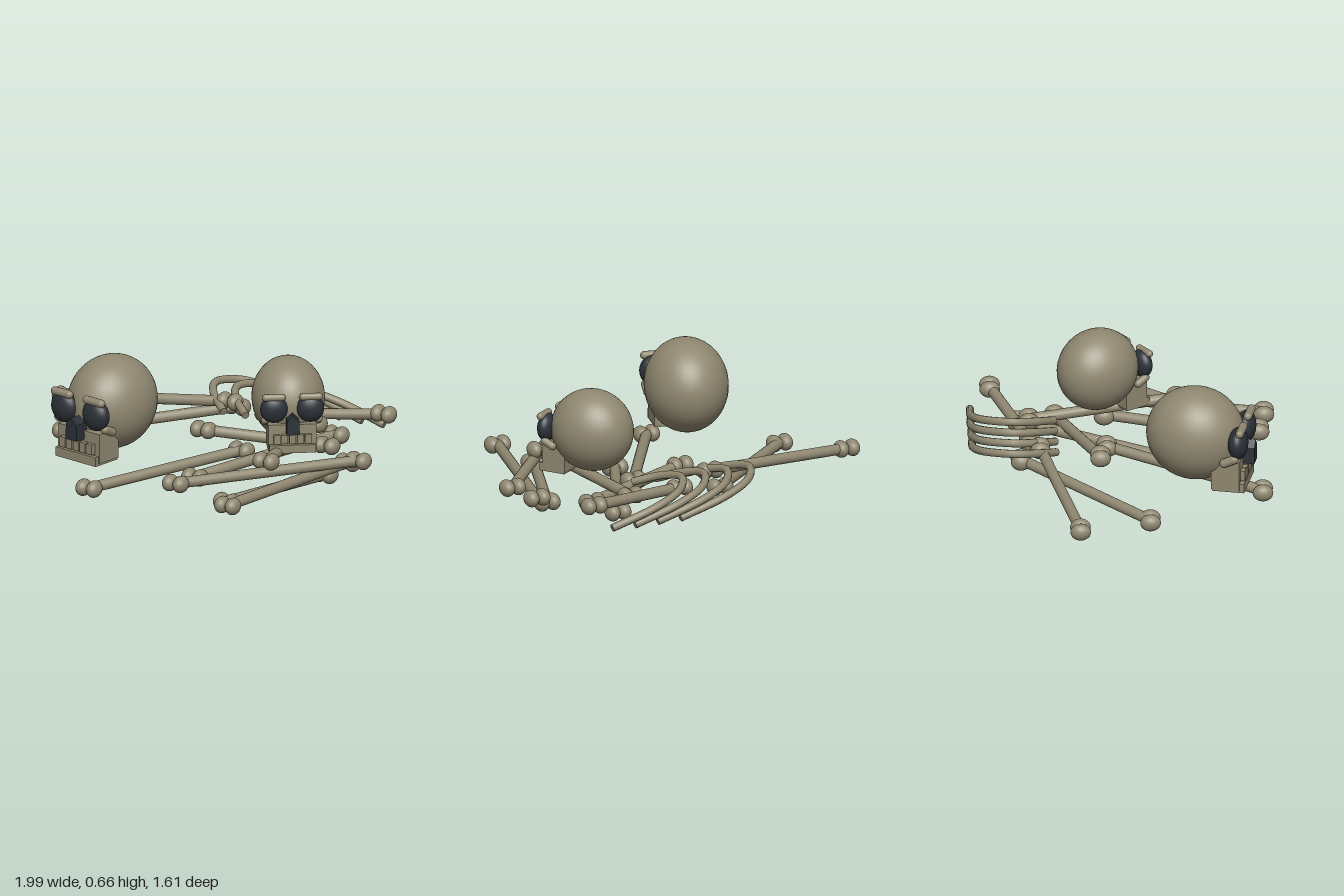
import * as THREE from 'three';

const bone = new THREE.MeshStandardMaterial({ color: 0x8f8770 });
bone.name = 'bone';
const dark = new THREE.MeshStandardMaterial({ color: 0x2b3138 });
dark.name = 'dark socket';

function add(parent, name, geometry, material, x = 0, y = 0, z = 0) {
  const mesh = new THREE.Mesh(geometry, material);
  mesh.name = name;
  mesh.position.set(x, y, z);
  parent.add(mesh);
  return mesh;
}

const ball = (rx, ry, rz, w = 32, h = 20) => new THREE.SphereGeometry(1, w, h).scale(rx, ry, rz);

// Skull facing +z, with its origin at the middle of the cranium
function makeSkull(name) {
  const skull = new THREE.Group();
  skull.name = name;
  add(skull, 'cranium', ball(0.22, 0.25, 0.258, 40, 28), bone);

  for (const s of [1, -1]) {
    add(skull, 'eyeSocket', ball(0.083, 0.086, 0.052), dark, s * 0.11, 0.008, 0.248);
    const brow = add(skull, 'brow', new THREE.CapsuleGeometry(0.022, 0.1, 6, 14), bone, s * 0.112, 0.086, 0.266);
    brow.rotation.z = Math.PI / 2;
    const cheek = add(skull, 'cheekbone', new THREE.CapsuleGeometry(0.024, 0.06, 6, 14), bone, s * 0.162, -0.076, 0.21);
    cheek.rotation.x = Math.PI / 2 - 0.45;
  }

  // Pointed nose opening
  const nose = new THREE.Shape([
    new THREE.Vector2(-0.04, -0.137), new THREE.Vector2(0.04, -0.137),
    new THREE.Vector2(0.036, -0.05), new THREE.Vector2(0, -0.015), new THREE.Vector2(-0.036, -0.05),
  ]);
  add(skull, 'nose', new THREE.ExtrudeGeometry(nose, { depth: 0.09, bevelEnabled: false }), dark, 0, 0, 0.23);

  // Jaws and teeth
  add(skull, 'upperJaw', new THREE.BoxGeometry(0.29, 0.16, 0.15), bone, 0, -0.17, 0.185);
  add(skull, 'lowerJaw', new THREE.BoxGeometry(0.28, 0.05, 0.17), bone, 0, -0.237, 0.2);
  for (let i = -2; i <= 2; i++) {
    add(skull, 'tooth', new THREE.BoxGeometry(0.039, 0.055, 0.04), bone, i * 0.047, -0.176, 0.265);
  }
  return skull;
}

// Long bone: a straight shaft with a pair of knobs at each end
function makeLongBone(ax, ay, az, bx, by, bz) {
  const group = new THREE.Group();
  group.name = 'longBone';
  const a = new THREE.Vector3(ax, ay, az);
  const b = new THREE.Vector3(bx, by, bz);
  const dir = b.clone().sub(a);
  const shaft = add(group, 'shaft', new THREE.CylinderGeometry(0.029, 0.029, dir.length(), 16), bone);
  shaft.position.copy(a).add(b).multiplyScalar(0.5);
  shaft.quaternion.setFromUnitVectors(new THREE.Vector3(0, 1, 0), dir.normalize());
  for (const end of [a, b]) {
    for (const s of [1, -1]) {
      add(group, 'knob', ball(0.039, 0.045, 0.054, 20, 14), bone, end.x + s * 0.032, end.y, end.z);
    }
  }
  return group;
}

export function createModel() {
  const model = new THREE.Group();
  model.name = 'bonePile';

  // Two skulls
  const frontSkull = makeSkull('frontSkull');
  frontSkull.position.set(-0.3, 0.417, 0.362);
  frontSkull.rotation.y = -0.22;
  const rearSkull = makeSkull('rearSkull');
  rearSkull.position.set(0.478, 0.426, -0.125);
  rearSkull.rotation.y = 0.61;
  rearSkull.scale.setScalar(0.87);
  model.add(frontSkull, rearSkull);

  // Scattered long bones, each from one end to the other
  const ends = [
    [-0.93, 0.16, -0.255, -0.05, 0.22, -0.44],
    [-0.72, 0.11, 0.115, -0.06, 0.16, -0.54],
    [-0.24, 0.05, 0.715, 0.22, 0.1, -0.085],
    [0.15, 0.05, 0.285, 0.53, 0.105, -0.54],
    [0.735, 0.21, -0.68, 0.15, 0.17, -0.49],
    [-0.03, 0.16, -0.125, 0.585, 0.11, -0.345],
    [0.58, 0.21, 0.29, 0.43, 0.165, -0.485],
    [0.275, 0.16, 0.71, 0.92, 0.16, -0.085],
    [0.607, 0.105, 0.745, 0.815, 0.11, -0.16],
    [0.49, 0.05, 0.55, 0.72, 0.05, -0.085],
  ];
  for (const e of ends) model.add(makeLongBone(...e));

  // Row of four curved ribs
  const path = new THREE.CatmullRomCurve3([
    [0.68, 0.11, -0.785], [0.42, 0.19, -0.783], [0.265, 0.24, -0.725],
    [0.185, 0.262, -0.58], [0.235, 0.24, -0.46], [0.355, 0.19, -0.355],
  ].map((p) => new THREE.Vector3(...p)));
  for (let i = 0; i < 4; i++) {
    const rib = new THREE.Group();
    rib.name = 'rib';
    rib.position.x = -0.131 * i;
    add(rib, 'ribTube', new THREE.TubeGeometry(path, 40, 0.021, 10), bone);
    // Closed tips
    for (const t of [0, 1]) {
      const cap = add(rib, 'ribTip', new THREE.CircleGeometry(0.021, 10), bone);
      const p = path.getPointAt(t);
      cap.position.copy(p);
      cap.quaternion.setFromUnitVectors(new THREE.Vector3(0, 0, 1), path.getTangentAt(t).multiplyScalar(t ? 1 : -1));
    }
    model.add(rib);
  }
  return model;
}
